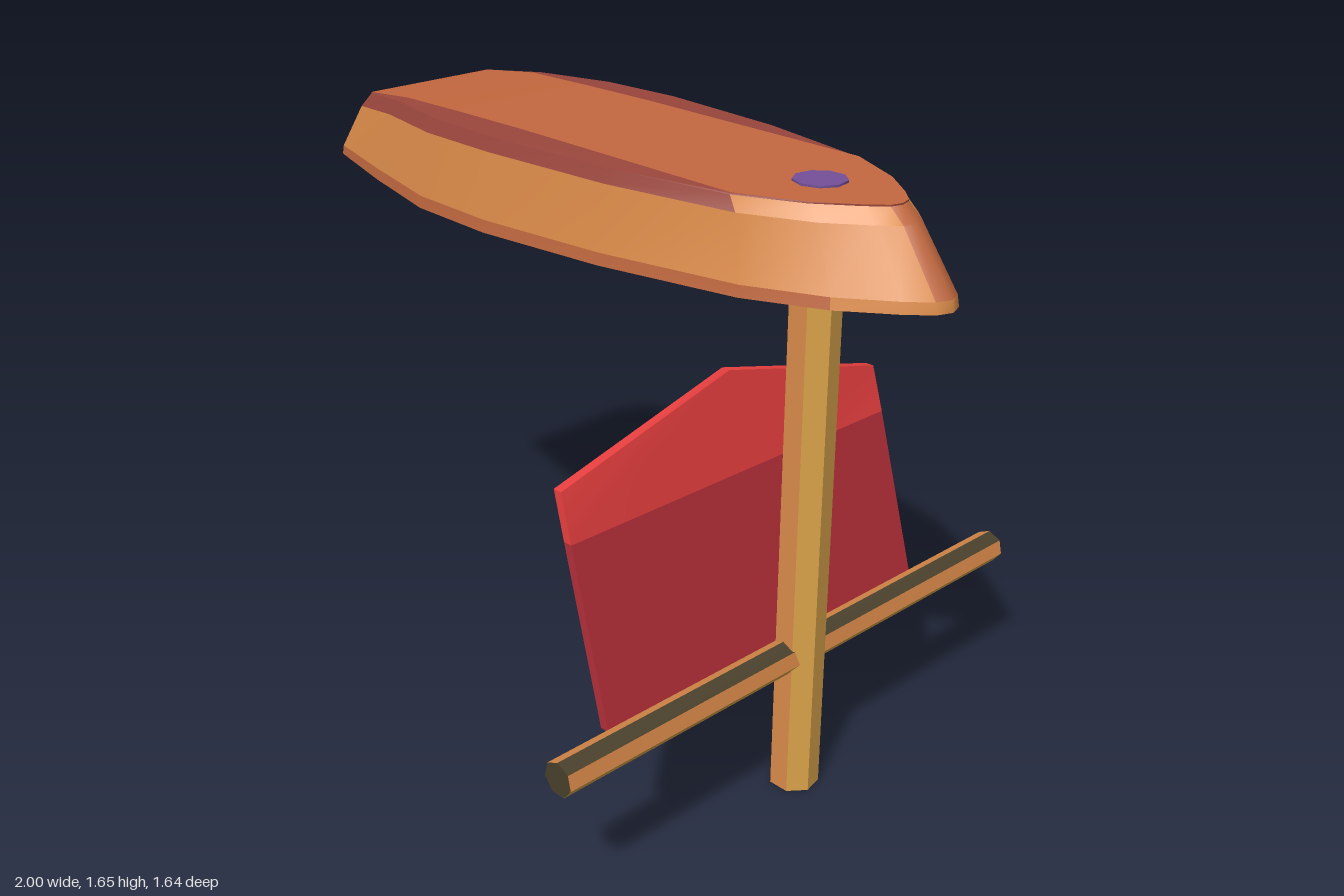
import * as THREE from 'three';

const mat = (name, color) => {
  const m = new THREE.MeshStandardMaterial({ color, side: THREE.DoubleSide });
  m.name = name;
  return m;
};

export function createModel() {
  const model = new THREE.Group();
  const M = {
    orange: mat('orangeWood', 0xdc8c4a),
    strip: mat('gunwaleBrown', 0xc0683f),
    bottom: mat('bottomBrown', 0xc4683f),
    darkRed: mat('darkRedWood', 0x9a463c),
    inside: mat('insideBrown', 0x80442f),
    yellow: mat('yellowWood', 0xdca64c),
    dark: mat('darkWood', 0x4a402c),
    red: mat('red', 0xec4040),
    crimson: mat('crimson', 0xb22e38),
    purple: mat('purple', 0x745098),
  };
  const add = (parent, name, geo, material) => {
    const mesh = new THREE.Mesh(geo, material);
    mesh.name = name;
    parent.add(mesh);
    return mesh;
  };

  // Surface between two rows of points
  const strip = (a, b) => {
    const n = a.length, idx = [];
    for (let i = 0; i < n - 1; i++) idx.push(i, i + 1, n + i + 1, i, n + i + 1, n + i);
    const g = new THREE.BufferGeometry();
    g.setAttribute('position', new THREE.Float32BufferAttribute([...a, ...b].flat(), 3));
    g.setIndex(idx);
    g.computeVertexNormals();
    return g;
  };
  const mirror = (half) => half.map(([x, y, z]) => [x, y, -z]);
  const ring = (half) => [...half, ...mirror(half).reverse().slice(1)];
  const lerp = (a, b, t) => a.map((p, i) => p.map((v, k) => v + (b[i][k] - v) * t));
  // Ring surface whose colour depends on the distance from the stern (segments 0 to 8)
  const addRing = (parent, name, a, b, materials, pick) => {
    const g = strip(ring(a), ring(b));
    for (let i = 0; i < 18; i++) g.addGroup(i * 6, 6, pick(Math.min(i, 17 - i)));
    add(parent, name, g, materials);
  };

  // Half outlines of the upturned hull, from stern to bow
  const rail = [[-1, 1.43, 0.22], [-0.75, 1.418, 0.28], [-0.48, 1.408, 0.335], [-0.2, 1.408, 0.347],
    [0.2, 1.415, 0.322], [0.6, 1.424, 0.26], [0.8, 1.427, 0.178], [0.93, 1.43, 0.092], [0.985, 1.43, 0.04], [1, 1.43, 0]];
  const chine = [[-0.9, 1.585, 0.213], [-0.7, 1.605, 0.26], [-0.46, 1.61, 0.314], [-0.2, 1.612, 0.324],
    [0.2, 1.61, 0.298], [0.56, 1.607, 0.232], [0.73, 1.605, 0.15], [0.83, 1.605, 0.075], [0.875, 1.605, 0.033], [0.885, 1.605, 0]];
  const edge = chine.map(([x, , z], i) => [x * 0.955, i ? 1.64 + 0.01 * Math.max(0, 1 - Math.abs(x + 0.3)) : 1.626, z * 0.965]);
  const flat = edge.map(([x, y, z]) => [x, y + 0.004, Math.min(z, 0.22)]);
  const band = lerp(rail, chine, 0.16).map(([x, y, z], i) => [x * 0.3 + rail[i][0] * 0.7, y, z]);
  const inRail = rail.map(([x, y, z]) => [x * 0.97, y, z * 0.9]);
  const inTop = chine.map(([x, y, z]) => [x * 0.96, y - 0.005, z * 0.9]);
  const ends = (half) => [mirror(half)[0], half[0]];

  const hull = new THREE.Group();
  hull.name = 'hull';
  model.add(hull);
  addRing(hull, 'gunwaleBand', rail, band, [M.strip, M.orange], (s) => (s > 5 ? 1 : 0));
  addRing(hull, 'hullSides', band, chine, [M.orange, M.strip], (s) => (s > 7 ? 1 : 0));
  addRing(hull, 'chineBand', chine, edge, [M.darkRed, M.orange, M.strip], (s) => (s > 7 ? 2 : s > 4 ? 1 : 0));
  add(hull, 'bottomMargin', strip(ring(edge), ring(flat)), M.darkRed);
  add(hull, 'bottom', strip(flat, mirror(flat)), M.bottom);
  [[rail, band], [band, chine], [chine, edge]].forEach(([a, b]) => {
    add(hull, 'transom', strip(ends(a), ends(b)), M.darkRed);
  });
  // Rim and hollow inside
  add(hull, 'rim', strip(ring(inRail), ring(rail)), M.strip);
  add(hull, 'sternRim', strip(ends(rail), ends(inRail)), M.strip);
  add(hull, 'innerWall', strip(ring(inTop), ring(inRail)), M.inside);
  add(hull, 'innerFloor', strip(mirror(inTop), inTop), M.inside);
  add(hull, 'innerTransom', strip(ends(inTop), ends(inRail)), M.strip);

  // Benches across the hull
  for (const [x, w, l] of [[-0.06, 0.07, 0.61], [-0.63, 0.15, 0.54]]) {
    add(hull, 'bench', new THREE.BoxGeometry(w, 0.03, l), M.bottom).position.set(x, 1.467, 0);
  }

  // Seven-sided pole with one dark face; vertex 0 points to -z
  const pole = (name, r, len, colours, caps) => {
    const g = new THREE.Group();
    g.name = name;
    const pt = (i, y) => {
      const a = -Math.PI / 2 - (i * Math.PI * 2) / 7;
      return [r * Math.cos(a), y, r * Math.sin(a)];
    };
    for (let i = 0; i < 7; i++) {
      add(g, name + 'Face', strip([pt(i + 1, -len / 2), pt(i, -len / 2)], [pt(i + 1, len / 2), pt(i, len / 2)]), colours[i]);
    }
    [1, -1].forEach((s, k) => {
      const cap = add(g, name + 'End', new THREE.CircleGeometry(r, 7, Math.PI / 2), caps[k]);
      cap.rotation.x = -s * Math.PI / 2;
      cap.rotation.z = s > 0 ? 0 : Math.PI;
      cap.position.y = (s * len) / 2;
    });
    model.add(g);
    return g;
  };
  const { orange: o, yellow: y, dark: d } = M;
  pole('mast', 0.066, 1.63, [o, o, o, o, y, y, d], [d, d]).position.set(0.605, 0.815, 0);
  const spar = pole('spar', 0.046, 1.64, [o, o, o, y, y, o, d], [d, o]);
  spar.rotation.x = Math.PI / 2;
  spar.position.set(0.602, 0.399, 0);

  // Mast plug on the bottom of the hull
  add(model, 'mastPlug', new THREE.CylinderGeometry(0.066, 0.066, 0.009, 9), M.purple).position.set(0.605, 1.6455, 0);

  // Sail: two thick panels meeting at a fold
  const rows = [
    [[0.553, 0.42, 0.63], [0.553, 0.42, 0.06], [0.553, 0.42, -0.5]],
    [[0.426, 0.867, 0.625], [0.426, 0.867, 0.06], [0.426, 0.867, -0.496]],
    [[0.39, 0.99, 0.622], [0.38, 1.13, 0.06], [0.39, 0.99, -0.493]],
  ];
  const shift = (row, dx) => row.map(([x, yy, z]) => [x + dx, yy, z]);
  const front = rows.map((row) => shift(row, 0.012));
  const back = rows.map((row) => shift(row, -0.013));
  const sail = new THREE.Group();
  sail.name = 'sail';
  model.add(sail);
  for (let i = 0; i < 2; i++) {
    const m = i ? M.red : M.crimson;
    const [fa, fb, ba, bb] = [front[i], front[i + 1], back[i], back[i + 1]];
    add(sail, 'sailFront', strip(fa, fb), m);
    add(sail, 'sailBack', strip(bb, ba), m);
    add(sail, 'sailEdge', strip([ba[0], fa[0]], [bb[0], fb[0]]), m);
    add(sail, 'sailEdge', strip([fa[2], ba[2]], [fb[2], bb[2]]), m);
    add(sail, 'sailHem', i ? strip(fb, bb) : strip(ba, fa), m);
  }
  return model;
}
